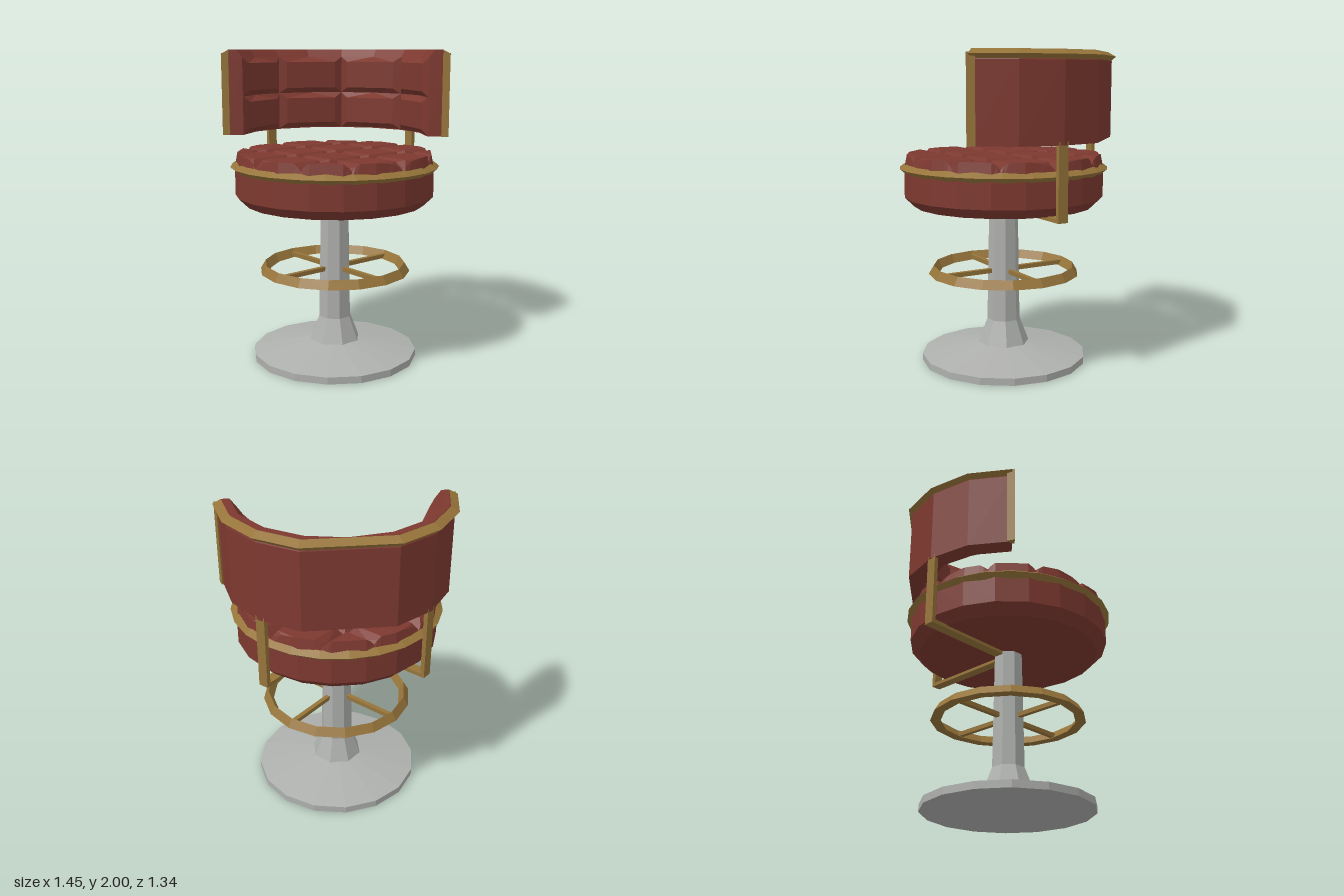
import * as THREE from 'three';

const red = new THREE.MeshStandardMaterial({ color: 0x7d3930 });
red.name = 'red leather';
const brass = new THREE.MeshStandardMaterial({ color: 0x96743a });
brass.name = 'brass';
const steel = new THREE.MeshStandardMaterial({ color: 0xaeb0ad });
steel.name = 'steel';

const V = (x, y, z) => new THREE.Vector3(x, y, z);
// point at radius r, height y; angle 0 is +x and grows toward the back
const polar = (r, y, a) => V(r * Math.cos(a), y, -r * Math.sin(a));

// faceted normals
function facet(geo) {
  const g = geo.index ? geo.toNonIndexed() : geo;
  g.computeVertexNormals();
  return g;
}

function mesh(name, geo, mat) {
  const m = new THREE.Mesh(facet(geo), mat);
  m.name = name;
  return m;
}

// turn convex polygons into a geometry
function fromPolys(polys) {
  const pts = [];
  for (const p of polys)
    for (let i = 1; i < p.length - 1; i++) pts.push(p[0], p[i], p[i + 1]);
  return new THREE.BufferGeometry().setFromPoints(pts);
}

function lathe(name, profile, sides, mat, start = 0) {
  const pts = profile.map(([r, y]) => new THREE.Vector2(r, y));
  return mesh(name, new THREE.LatheGeometry(pts, sides, start), mat);
}

// closed rings of points joined in order, capped at both ends
function loft(rings) {
  const polys = [rings[0], [...rings[rings.length - 1]].reverse()];
  for (let j = 0; j < rings.length - 1; j++) {
    const A = rings[j], B = rings[j + 1];
    A.forEach((p, i) => {
      const k = (i + 1) % A.length;
      polys.push([p, B[i], B[k]], [p, B[k], A[k]]);
    });
  }
  return fromPolys(polys);
}

// one padded cell: sunken corners P, edge middles M, raised face C
function tuft(P, M, C) {
  const polys = [C];
  for (let i = 0; i < 4; i++) {
    const k = (i + 1) % 4;
    polys.push([C[i], P[i], M[i]], [C[i], M[i], C[k]], [C[k], M[i], P[k]]);
  }
  return polys;
}

// keep the part of a polygon inside nx*x + nz*z <= d
function clip(poly, nx, nz, d) {
  const out = [];
  poly.forEach((a, i) => {
    const b = poly[(i + 1) % poly.length];
    const da = nx * a.x + nz * a.z - d, db = nx * b.x + nz * b.z - d;
    if (da <= 0) out.push(a);
    if (da * db < 0) out.push(a.clone().lerp(b, da / (da - db)));
  });
  return out;
}

// diamond-tufted cushion top trimmed to a 20-sided outline
function cushionTop() {
  const s = 0.225, dirs = [[1, 0], [0, -1], [-1, 0], [0, 1]];
  let polys = [];
  for (let i = -4; i <= 4; i++)
    for (let j = -4; j <= 4; j++) {
      if ((i + j) % 2 === 0) continue;
      const at = (k, f, y) => V(i * s + dirs[k][0] * f, y, j * s + dirs[k][1] * f);
      const P = dirs.map((_, k) => at(k, s, 1.295));
      const M = P.map((p, k) => p.clone().lerp(P[(k + 1) % 4], 0.5).setY(1.328));
      polys.push(...tuft(P, M, dirs.map((_, k) => at(k, 0.165, 1.362))));
    }
  const skirt = [], d = 0.62 * Math.cos(Math.PI / 20);
  for (let k = 0; k < 20; k++) {
    const a = (k * Math.PI) / 10, nx = Math.sin(a), nz = Math.cos(a);
    polys = polys.map(p => clip(p, nx, nz, d)).filter(p => p.length > 2);
  }
  // edge wall down to the piping
  const drop = p => V(p.x * 1.025, 1.28, p.z * 1.025);
  for (let k = 0; k < 20; k++) {
    const a = (k * Math.PI) / 10;
    const on = p => Math.abs(Math.sin(a) * p.x + Math.cos(a) * p.z - d) < 1e-5;
    for (const p of polys)
      p.forEach((u, i) => {
        const w = p[(i + 1) % p.length];
        if (on(u) && on(w)) skirt.push([drop(u), drop(w), w, u]);
      });
  }
  return fromPolys([...polys, ...skirt]);
}

// sweep a profile round the half circle; the rear outer facet stays flat
function backSweep(profile) {
  const rings = [];
  for (let i = 0; i <= 8; i++) {
    rings.push(profile.map(([r, y]) =>
      polar(i === 4 && r > 0.65 ? r * Math.cos(Math.PI / 8) : r, y, (i * Math.PI) / 8)));
  }
  return loft(rings);
}

// four by two padded panels inside the backrest
function backPanels() {
  const polys = [], rows = [[1.465, 1.705], [1.705, 1.95]], r = 0.588;
  for (let i = 0; i < 4; i++)
    for (const [y0, y1] of rows) {
      const a0 = (i * Math.PI) / 4, a1 = a0 + Math.PI / 4, am = (a0 + a1) / 2, ym = (y0 + y1) / 2;
      const e = 0.075, f = 0.035;
      const P = [polar(r, y0, a1), polar(r, y0, a0), polar(r, y1, a0), polar(r, y1, a1)];
      const M = [polar(r, y0, am), polar(r, ym, a0), polar(r, y1, am), polar(r, ym, a1)];
      const q = 0.553;
      const C = [polar(q, y0 + f, a1 - e), polar(q, y0 + f, a0 + e),
        polar(q, y1 - f, a0 + e), polar(q, y1 - f, a1 - e)];
      polys.push(...tuft(P, M, C));
    }
  return fromPolys(polys);
}

// bar running outward from the axis at angle a
function bar(name, r0, r1, y0, y1, width, a) {
  const g = new THREE.BoxGeometry(r1 - r0, y1 - y0, width);
  g.translate((r0 + r1) / 2, (y0 + y1) / 2, 0).rotateY(a);
  return mesh(name, g, brass);
}

export function createModel() {
  const model = new THREE.Group();
  model.name = 'swivelBarChair';

  // pedestal
  model.add(lathe('base', [[0, 0], [0.537, 0], [0.537, 0.045], [0.15, 0.115], [0, 0.115]], 16, steel));
  model.add(lathe('column', [[0.168, 0.11], [0.107, 0.27], [0.093, 1.04]], 8, steel, Math.PI / 8));

  // foot ring and its spokes
  model.add(lathe('footRing', [[0.424, 0.58], [0.49, 0.58], [0.457, 0.635], [0.424, 0.58]], 16, brass));
  for (let i = 0; i < 4; i++)
    model.add(bar('footRingSpoke', 0.05, 0.45, 0.585, 0.613, 0.03, Math.PI / 4 + (i * Math.PI) / 2));

  // seat
  model.add(lathe('seatBody', [[0, 1.03], [0.575, 1.03], [0.637, 1.09], [0.637, 1.28], [0, 1.28]], 20, red, Math.PI / 20));
  model.add(mesh('seatCushion', cushionTop(), red));
  model.add(lathe('seatPiping', [[0.625, 1.24], [0.667, 1.275], [0.625, 1.305], [0.625, 1.24]], 24, brass));

  // backrest shell, padding and trim
  model.add(mesh('backrestShell', backSweep([[0.588, 1.46], [0.7, 1.46], [0.7, 1.94], [0.672, 2], [0.625, 2], [0.588, 1.95]]), red));
  model.add(mesh('backrestPadding', backPanels(), red));
  model.add(mesh('backrestPiping', backSweep([[0.69, 1.94], [0.727, 1.972], [0.676, 2], [0.67, 1.96]]), brass));

  for (const s of [1, -1]) {
    // trim down the front edge of each wing
    const tri = y => [[0.675, -0.005], [0.675, 0.012], [0.72, 0.016], [0.704, -0.032]].map(([x, z]) => V(s * x, y, z));
    const ring = s > 0 ? [tri(1.46), tri(1.98)] : [tri(1.98), tri(1.46)];
    model.add(mesh('wingTrim', loft(ring.map(r => [...r].reverse())), brass));
    // bent support: arm under the seat and upright post
    const a = Math.PI / 2 - (s * Math.PI) / 4;
    model.add(bar('supportArm', 0.03, 0.695, 1.01, 1.034, 0.065, a));
    model.add(bar('supportPost', 0.668, 0.695, 1.01, 1.48, 0.065, a));
  }
  return model;
}
